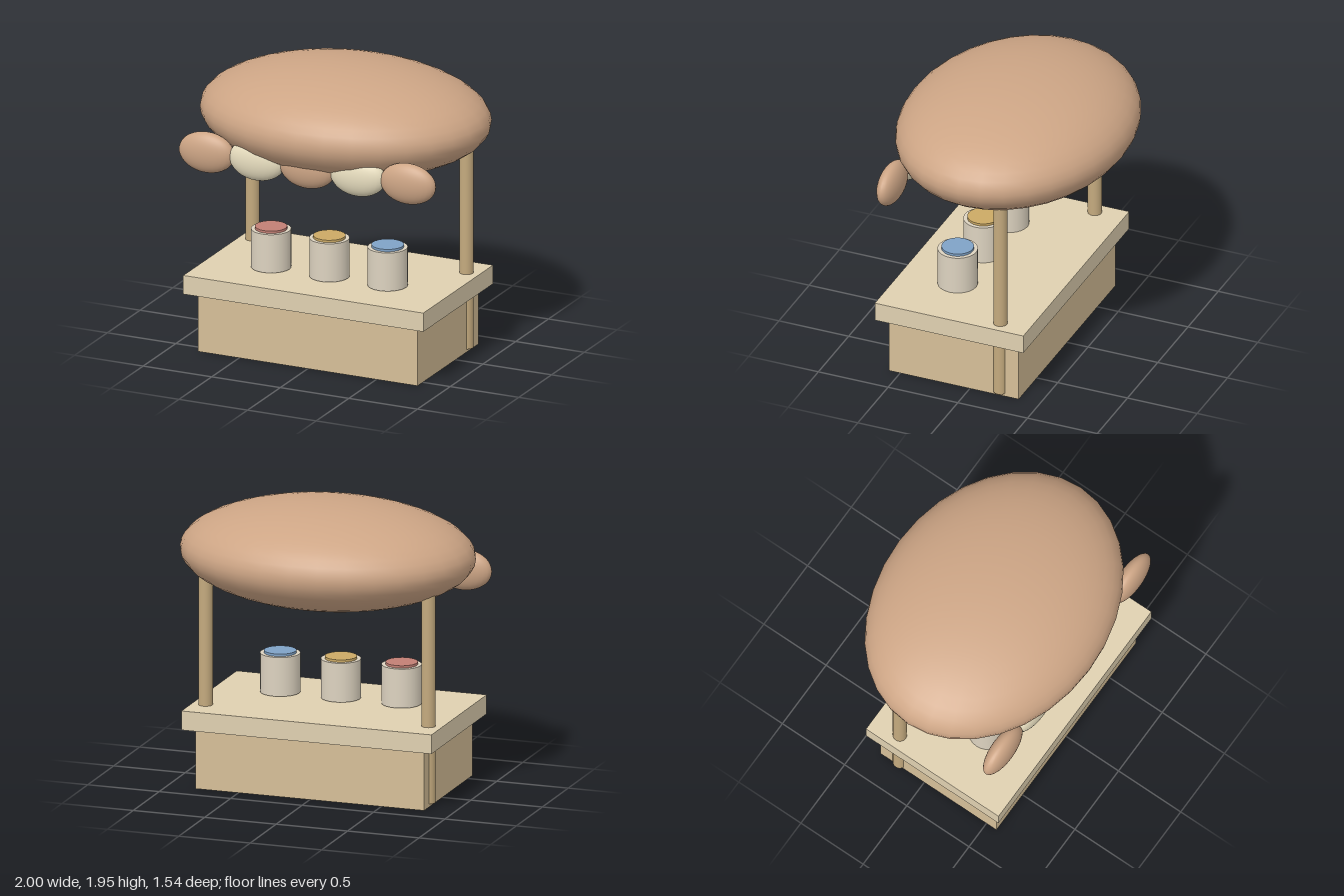
import * as THREE from 'three';

const material = (color) => new THREE.MeshStandardMaterial({ color });

export function createModel() {
  const stall = new THREE.Group();
  stall.name = 'marketStall';

  const brown = material(0xcda585);
  const cream = material(0xe9dfc0);
  const wood = material(0xd6bf98);
  const top = material(0xdfd0b0);
  const post = material(0xc4aa7e);
  const pot = material(0xddd3c0);

  function add(name, geometry, mat, x, y, z, parent = stall) {
    const mesh = new THREE.Mesh(geometry, mat);
    mesh.name = name;
    mesh.position.set(x, y, z);
    parent.add(mesh);
    return mesh;
  }
  const ellipsoid = (rx, ry, rz, w, h) => new THREE.SphereGeometry(1, w, h).scale(rx, ry, rz);

  // Cabinet and overhanging counter
  add('cabinet', new THREE.BoxGeometry(1.6, 0.4, 0.93), wood, 0, 0.2, 0.115);
  add('counter', new THREE.BoxGeometry(1.75, 0.13, 1.065), top, 0, 0.475, 0.117);

  // Posts run from near the ground up into the canopy
  for (const side of [-1, 1]) {
    add(side > 0 ? 'leftPost' : 'rightPost',
      new THREE.CylinderGeometry(0.047, 0.047, 1.48, 20), post, side * 0.78, 0.76, -0.21);
  }

  // Rounded canopy
  add('canopy', ellipsoid(1, 0.35, 0.77, 32, 24), brown, 0, 1.6, 0);

  // Scalloped valance in alternating colours
  for (let i = -2; i <= 2; i++) {
    add('valanceScallop', ellipsoid(0.2, 0.14, 0.075, 28, 20),
      i % 2 ? cream : brown, i * 0.367, 1.4, 0.585);
  }

  // Jars with coloured lids
  [0xc27f74, 0xcba964, 0x7fa2c6].forEach((color, i) => {
    const jar = new THREE.Group();
    jar.name = 'jar';
    jar.position.set((i - 1) * 0.425, 0.54, 0.25);
    stall.add(jar);
    add('jarBody', new THREE.CylinderGeometry(0.133, 0.133, 0.266, 24), pot, 0, 0.138, 0, jar);
    add('jarLid', new THREE.CylinderGeometry(0.107, 0.107, 0.035, 24), material(color), 0, 0.27, 0, jar);
  });

  return stall;
}
